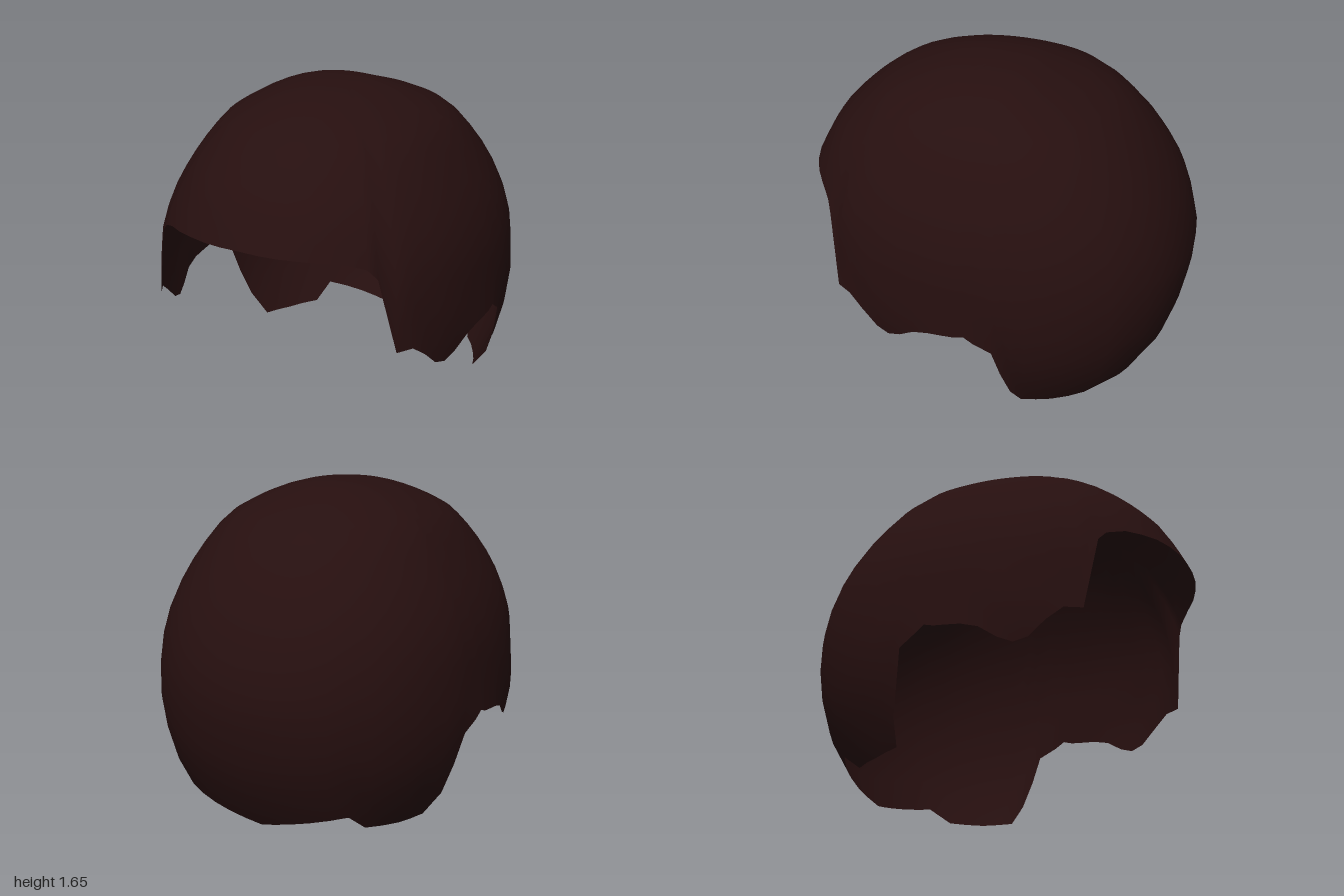
import * as THREE from 'three';

const TOP = 1.65;
// Silhouette of the cap, [height, reach from the centre axis]
const SIDE = [[1.65, 0], [1.645, 0.12], [1.59, 0.33], [1.47, 0.55], [1.27, 0.69], [1.1, 0.78], [0.9, 0.84], [0.53, 0.863], [0.4, 0.84], [0.16, 0.78], [0.03, 0.695], [0, 0.68]];
const FRONT = [[1.65, 0], [1.645, 0.15], [1.63, 0.28], [1.58, 0.45], [1.5, 0.63], [1.38, 0.78], [1.25, 0.9], [1.06, 1], [0.95, 1.03], [0.56, 1.05], [0, 0.9]];
const BACK = [[1.65, 0], [1.645, 0.1], [1.6, 0.25], [1.47, 0.57], [1.23, 0.8], [1, 0.93], [0.72, 1], [0.5, 0.98], [0.3, 0.93], [0.15, 0.87], [0, 0.76]];

// Lower hairline on the left half, [x, z, height], from forehead to nape
const HAIRLINE = [
  [0, 1, 1.06], [0.3, 0.93, 1.052], [0.48, 0.84, 1.035], [0.57, 0.78, 1], [0.61, 0.75, 0.95],
  [0.69, 0.7, 0.56], [0.74, 0.62, 0.56], [0.78, 0.55, 0.5], [0.81, 0.47, 0.42], [0.83, 0.4, 0.4],
  [0.84, 0.32, 0.43], [0.86, 0.23, 0.49], [0.86, 0.14, 0.515], [0.86, 0, 0.53], [0.86, -0.05, 0.545],
  [0.855, -0.1, 0.51], [0.84, -0.19, 0.46], [0.79, -0.22, 0.3], [0.75, -0.26, 0.15],
  [0.69, -0.3, 0.03], [0.62, -0.45, 0.02], [0.49, -0.58, 0.025], [0.46, -0.69, 0.11], [0, -0.76, 0],
];

// Reach at a height; the square root keeps the crown round
function reach(table, y) {
  const u = (h) => Math.sqrt(Math.max(0, TOP - h));
  for (let i = 1; i < table.length; i++) {
    const [y0, r0] = table[i - 1];
    const [y1, r1] = table[i];
    if (y >= y1) return r0 + (r1 - r0) * (u(y) - u(y0)) / (u(y1) - u(y0));
  }
  return table[table.length - 1][1];
}

// Point on the cap, using a slightly squared oval at each height
function capPoint(angle, y) {
  const n = 2.25;
  const dx = Math.sin(angle);
  const dz = Math.cos(angle);
  const w = reach(SIDE, y);
  const d = reach(dz > 0 ? FRONT : BACK, y);
  const r = Math.pow(Math.pow(Math.abs(dx) / w, n) + Math.pow(Math.abs(dz) / d, n), -1 / n);
  return [dx * r, y, dz * r];
}

// Columns around the head: subdivide the hairline, then mirror it
function hairColumns() {
  const half = [];
  HAIRLINE.forEach(([x, z, y], i) => {
    const angle = Math.atan2(x, z);
    if (i > 0) {
      const prev = half[half.length - 1];
      const steps = Math.ceil((angle - prev.angle) / 0.14);
      for (let k = 1; k < steps; k++) {
        const t = k / steps;
        half.push({ angle: prev.angle + (angle - prev.angle) * t, y: prev.y + (y - prev.y) * t });
      }
    }
    half.push({ angle, y });
  });
  const mirrored = half.slice(1, -1).reverse().map((c) => ({ angle: 2 * Math.PI - c.angle, y: c.y }));
  return [...half, ...mirrored];
}

function hairGeometry(rows) {
  const columns = hairColumns();
  const positions = [0, TOP, 0];
  const index = [];
  columns.forEach((c) => {
    for (let j = 1; j <= rows; j++) {
      const s = j / rows;
      positions.push(...capPoint(c.angle, TOP - (TOP - c.y) * s * s));
    }
  });
  const id = (i, j) => (j === 0 ? 0 : 1 + (i % columns.length) * rows + j - 1);
  for (let i = 0; i < columns.length; i++) {
    for (let j = 0; j < rows; j++) {
      index.push(id(i, j), id(i, j + 1), id(i + 1, j + 1));
      if (j > 0) index.push(id(i, j), id(i + 1, j + 1), id(i + 1, j));
    }
  }
  const geometry = new THREE.BufferGeometry();
  geometry.setAttribute('position', new THREE.Float32BufferAttribute(positions, 3));
  geometry.setIndex(index);
  geometry.computeVertexNormals();
  return geometry;
}

export function createModel() {
  const group = new THREE.Group();
  group.name = 'hair';
  const darkBrown = new THREE.MeshStandardMaterial({ color: 0x260f0f, side: THREE.DoubleSide });
  darkBrown.name = 'darkBrownHair';

  // Open shell with fringe, sideburns, ear cut-outs and nape
  const cap = new THREE.Mesh(hairGeometry(16), darkBrown);
  cap.name = 'hairCap';
  group.add(cap);
  return group;
}
